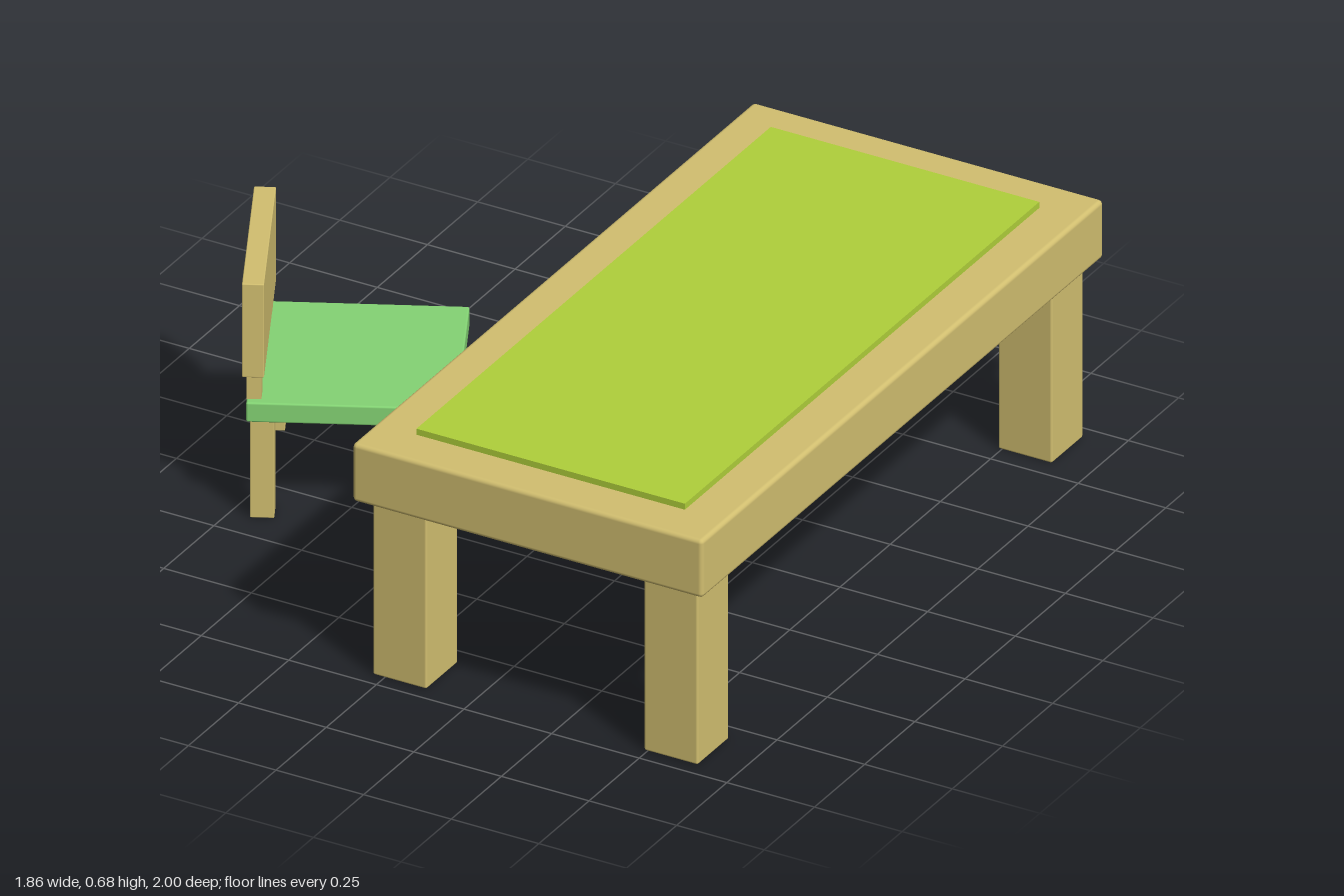
import * as THREE from 'three';
import { RoundedBoxGeometry } from 'three/addons/geometries/RoundedBoxGeometry.js';

const wood = new THREE.MeshStandardMaterial({ color: 0xd2bf70 });
const matGreen = new THREE.MeshStandardMaterial({ color: 0xb0d03a });
const seatGreen = new THREE.MeshStandardMaterial({ color: 0x84d474 });

// Box given by its centre in x and z and its bottom and top heights; r softens the edges
function block(parent, name, material, [w, d], [y0, y1], [x, z], r = 0) {
  const h = y1 - y0;
  const geometry = r ? new RoundedBoxGeometry(w, h, d, 2, r) : new THREE.BoxGeometry(w, h, d);
  const mesh = new THREE.Mesh(geometry, material);
  mesh.name = name;
  mesh.position.set(x, (y0 + y1) / 2, z);
  parent.add(mesh);
}

function createTable() {
  const table = new THREE.Group();
  table.name = 'table';
  block(table, 'tableTop', wood, [1, 2], [0.5, 0.665], [0, 0], 0.012);
  block(table, 'tableMat', matGreen, [0.766, 1.765], [0.66, 0.682], [0, 0]);
  for (const sx of [-1, 1])
    for (const sz of [-1, 1])
      block(table, 'tableLeg', wood, [0.154, 0.156], [0, 0.505], [sx * 0.387, sz * 0.882], 0.006);
  return table;
}

// Chair faces its own +x, with the backrest at -x
function createChair() {
  const chair = new THREE.Group();
  chair.name = 'chair';
  block(chair, 'seat', seatGreen, [0.523, 0.523], [0.275, 0.33], [0, 0], 0.005);
  block(chair, 'backrest', wood, [0.055, 0.498], [0.395, 0.66], [-0.245, 0], 0.003);
  for (const sz of [-1, 1]) {
    for (const sx of [-1, 1])
      block(chair, 'chairLeg', wood, [0.06, 0.06], [0, 0.28], [sx * 0.222, sz * 0.222], 0.002);
    block(chair, 'backPost', wood, [0.037, 0.037], [0.325, 0.4], [-0.243, sz * 0.222]);
  }
  return chair;
}

export function createModel() {
  const model = new THREE.Group();
  model.name = 'tableAndChair';
  const table = createTable();
  table.position.x = 0.43;
  const chair = createChair();
  chair.position.set(-0.579, 0, 0.082);
  chair.rotation.y = 0.46;
  model.add(table, chair);
  return model;
}
